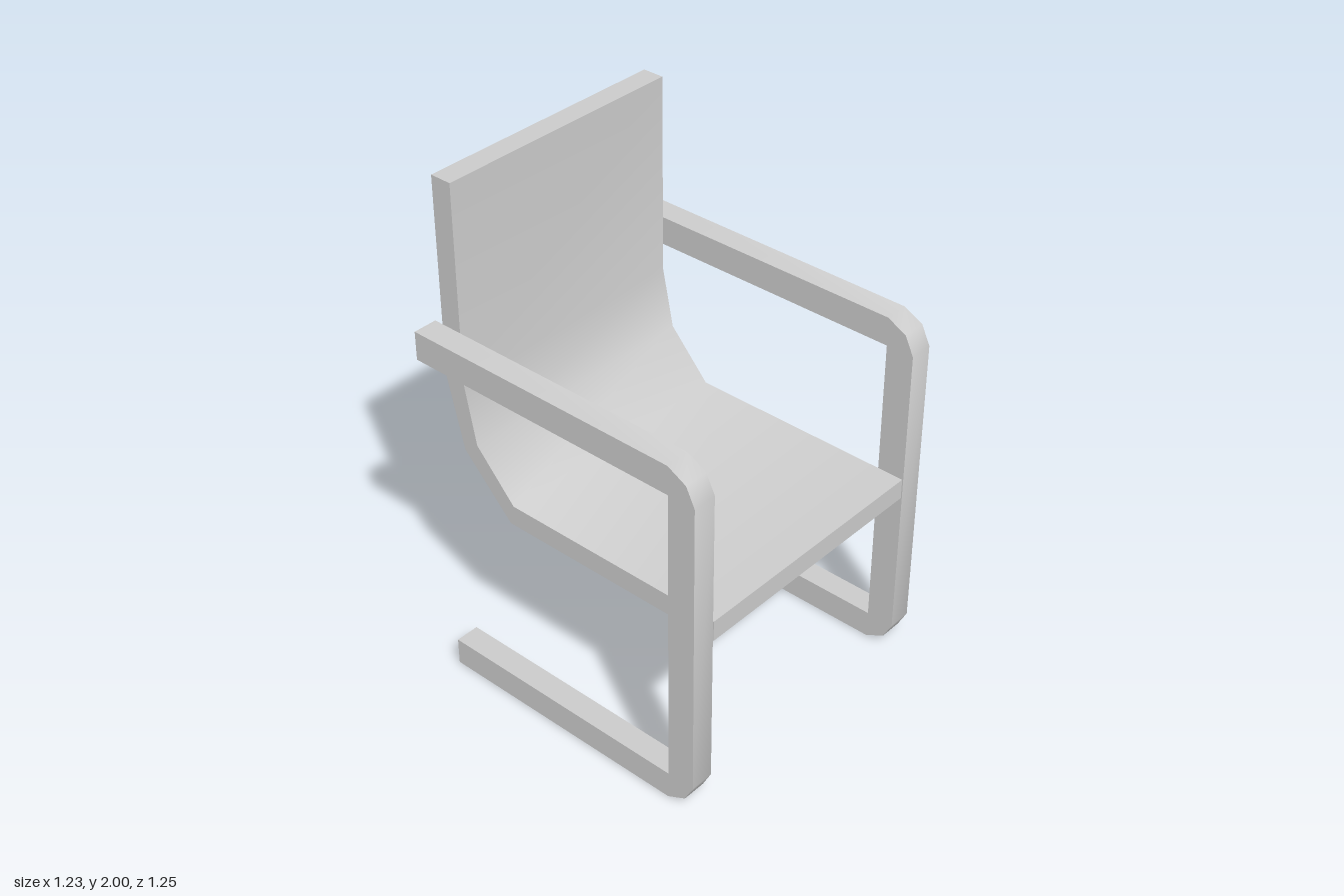
import * as THREE from 'three';
import { toCreasedNormals } from 'three/addons/utils/BufferGeometryUtils.js';

const material = new THREE.MeshStandardMaterial({ color: 0xcccccc });

// Extrudes a side profile of [z, y] points along x, from x0 to x0 + width.
function sideProfile(name, points, x0, width) {
  const shape = new THREE.Shape(points.map(([z, y]) => new THREE.Vector2(-z, y)));
  const geometry = new THREE.ExtrudeGeometry(shape, { depth: width, bevelEnabled: false });
  geometry.rotateY(Math.PI / 2).translate(x0, 0, 0);
  const mesh = new THREE.Mesh(toCreasedNormals(geometry, 0.9), material);
  mesh.name = name;
  return mesh;
}

export function createModel() {
  const group = new THREE.Group();
  group.name = 'cantileverArmchair';

  // Seat and backrest: one bent sheet
  const upper = [[0.627, 0.797], [-0.295, 0.797], [-0.463, 0.98], [-0.511, 1.215], [-0.511, 2]];
  const lower = [[0.627, 0.715], [-0.313, 0.715], [-0.526, 0.933], [-0.597, 1.215], [-0.597, 2]];
  group.add(sideProfile('seatAndBack', [...upper, ...lower.reverse()], -0.513, 1.026));

  // Side frames: armrest, front leg and floor runner in one bent bar
  const frame = [
    [-0.627, 1.43], [0.515, 1.43], [0.592, 1.39], [0.628, 1.317],
    [0.628, 0.11], [0.592, 0.04], [0.515, 0], [-0.53, 0],
    [-0.53, 0.11], [0.517, 0.11], [0.517, 1.317], [-0.627, 1.317],
  ];
  const frameWidth = 0.095;
  group.add(sideProfile('leftFrame', frame, 0.518, frameWidth));
  group.add(sideProfile('rightFrame', frame, -0.518 - frameWidth, frameWidth));

  return group;
}
